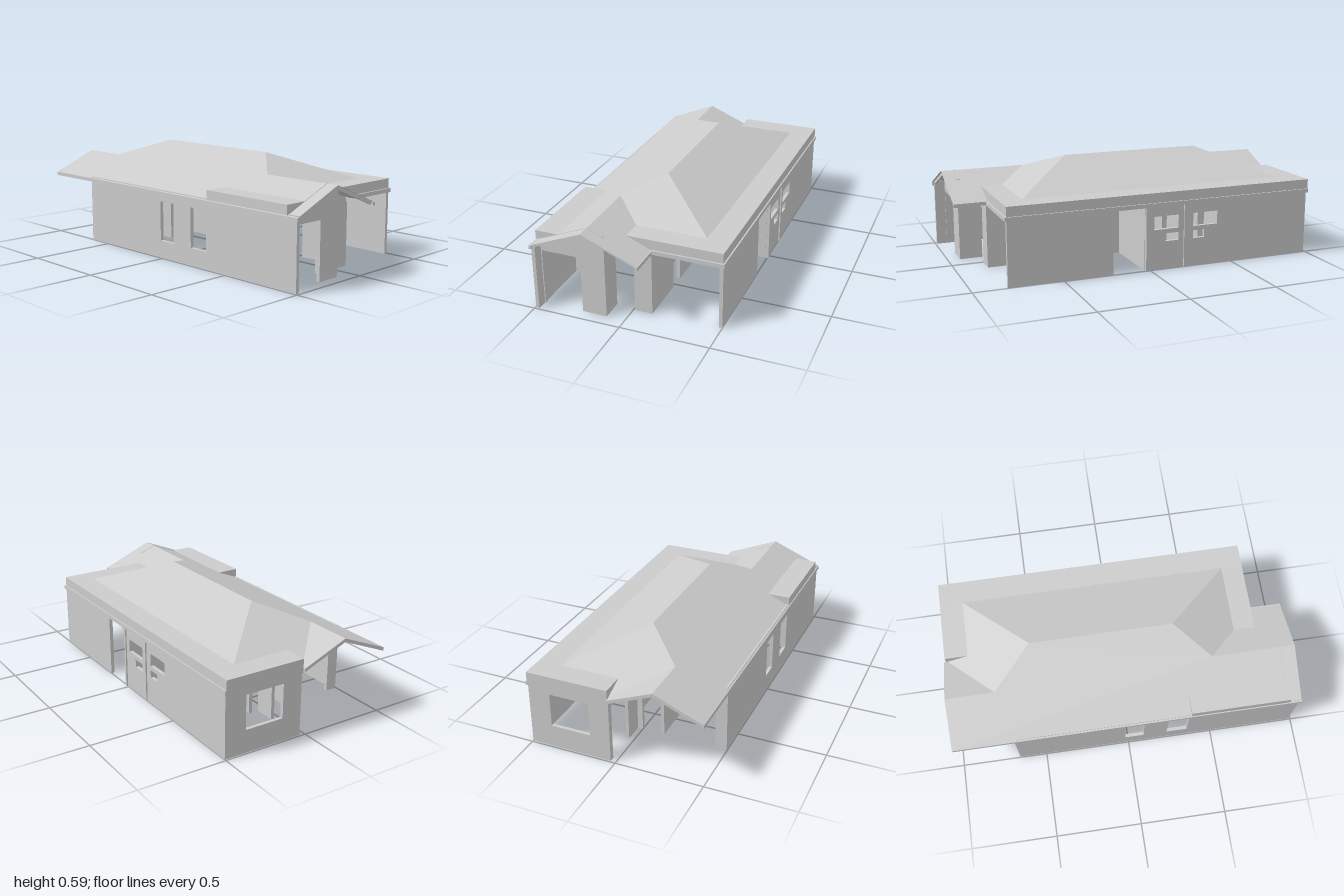
import * as THREE from 'three';

const mat = new THREE.MeshStandardMaterial({ color: 0xcccccc, flatShading: true, side: THREE.DoubleSide });
const H = 0.37, T = 0.02; // wall height and thickness
const R = 0.588, S = 0.41, F = 0.438; // ridge height, roof pitch, flat rim height
const toVec = list => list.map(p => new THREE.Vector2(...p));

function add(parent, name, geo) {
  const m = new THREE.Mesh(geo, mat);
  m.name = name;
  parent.add(m);
  return m;
}

// Box given by its minimum and maximum corners
function box(parent, name, x0, x1, y0, y1, z0, z1) {
  const m = add(parent, name, new THREE.BoxGeometry(x1 - x0, y1 - y0, z1 - z0));
  m.position.set((x0 + x1) / 2, (y0 + y1) / 2, (z0 + z1) / 2);
}

// Wall from a to b along an axis; doors [a, b] are notches, windows [a, b, y0, y1] are holes,
// top lists the points of a sloped upper edge from b to a
function wall(parent, name, axis, at, a, b, { doors = [], windows = [], top = [[b, H], [a, H]] } = {}) {
  const pts = [[a, 0]];
  for (const [p, q] of doors) pts.push([p, 0], [p, 0.325], [q, 0.325], [q, 0]);
  pts.push([b, 0], ...top);
  const shape = new THREE.Shape(toVec(pts));
  for (const [p, q, y0, y1] of windows)
    shape.holes.push(new THREE.Path(toVec([[p, y0], [p, y1], [q, y1], [q, y0]])));
  const m = add(parent, name, new THREE.ExtrudeGeometry(shape, { depth: T, bevelEnabled: false }));
  if (axis === 'x') m.position.z = at - T / 2;
  else {
    m.rotation.y = -Math.PI / 2;
    m.position.x = at + T / 2;
  }
}

// Flat roof face from plan points [x, z] lifted by a height rule
function face(parent, name, plan, height) {
  const g = new THREE.ShapeGeometry(new THREE.Shape(toVec(plan.map(([x, z]) => [x, -z]))));
  g.rotateX(-Math.PI / 2);
  const p = g.attributes.position;
  for (let i = 0; i < p.count; i++) p.setY(i, height(p.getX(i), p.getZ(i)));
  g.computeVertexNormals();
  add(parent, name, g);
}

// Sloping board under a gable edge, profile points [z, y]
function rake(parent, name, x, pts) {
  const low = pts.map(([z, y]) => [z, y - 0.02]).reverse();
  const shape = new THREE.Shape(toVec([...pts, ...low]));
  const m = add(parent, name, new THREE.ExtrudeGeometry(shape, { depth: 0.012, bevelEnabled: false }));
  m.rotation.y = -Math.PI / 2;
  m.position.x = x;
}

export function createModel() {
  const house = new THREE.Group();
  house.name = 'house';
  const group = name => {
    const g = new THREE.Group();
    g.name = name;
    house.add(g);
    return g;
  };

  // Outer walls
  const outer = group('outerWalls');
  wall(outer, 'frontWall', 'x', 0.485, -0.66, 0.99, {
    windows: [[-0.02, 0.09, 0.1, 0.325], [0.23, 0.35, 0.1, 0.325]],
    top: [[0.99, 0.39], [-0.66, 0.39]],
  });
  wall(outer, 'frontWallReturn', 'z', -0.65, 0.43, 0.48);
  wall(outer, 'backWallPatio', 'x', -0.49, 0.22, 0.81);
  wall(outer, 'backWall', 'x', -0.49, -0.99, 0.02, {
    windows: [[-0.17, -0.02, 0.23, 0.305], [-0.17, -0.09, 0.16, 0.205],
      [-0.41, -0.26, 0.23, 0.305], [-0.33, -0.26, 0.16, 0.205]],
  });
  wall(outer, 'leftGableWall', 'z', 0.92, 0.11, 0.49, {
    doors: [[0.245, 0.47]],
    top: [[0.49, 0.39], [0.2, 0.508], [0.11, 0.471]],
  });
  wall(outer, 'porchWall', 'z', 0.81, -0.11, 0.12, {
    doors: [[-0.01, 0.105]],
    top: [[0.12, 0.465], [-0.11, 0.375]],
  });
  wall(outer, 'porchReturnWall', 'x', 0.115, 0.8, 0.93, { top: [[0.93, 0.46], [0.8, 0.46]] });
  wall(outer, 'rightEndWall', 'z', -0.98, -0.5, -0.03, { windows: [[-0.375, -0.145, 0.13, 0.325]] });
  wall(outer, 'carportBackWall', 'x', -0.04, -0.99, -0.65, { doors: [[-0.96, -0.77]] });
  wall(outer, 'carportSideWall', 'z', -0.65, -0.04, 0.13, { doors: [[0.0, 0.11]] });
  for (const x of [0.02, -0.21]) box(outer, 'backPost', x - 0.008, x + 0.008, 0, H, -0.508, -0.48);

  // Room partitions
  const inner = group('innerWalls');
  wall(inner, 'patioWall', 'x', -0.1, 0.01, 0.82, { doors: [[0.43, 0.525]] });
  wall(inner, 'corridorBackWall', 'x', -0.1, -0.65, 0.01, { doors: [[-0.6, -0.5], [-0.14, -0.04]] });
  wall(inner, 'corridorFrontWall', 'x', 0.12, -0.66, -0.35);
  wall(inner, 'corridorStub', 'z', 0.02, -0.1, 0.045);
  for (const x of [0.02, -0.21, -0.45]) wall(inner, 'roomPartition', 'z', x, -0.49, -0.1);
  wall(inner, 'bathroomWall', 'x', -0.27, -0.45, 0.02, { doors: [[-0.4, -0.31], [-0.17, -0.08]] });
  wall(inner, 'frontRoomPartition', 'z', 0.56, 0.25, 0.485);

  // Main roof slopes
  const roof = group('roof');
  face(roof, 'frontSlope', [[-1, 0.23], [-0.73, 0.23], [-0.5, 0], [0.32, 0], [0.52, 0.2], [1, 0.2], [1, 0.505], [-1, 0.505]],
    (x, z) => R - S * z);
  face(roof, 'backSlope', [[0.32, 0], [-0.5, 0], [-0.866, -0.366], [0.686, -0.366]], (x, z) => R + S * z);
  face(roof, 'rightHip', [[-0.5, 0], [-0.73, 0.23], [-0.99, -0.03], [-0.866, -0.03], [-0.866, -0.366]],
    x => R + S * (x + 0.5));
  face(roof, 'leftHip', [[0.32, 0], [0.686, -0.366], [0.686, 0.034], [0.52, 0.2]], x => R - S * (x - 0.32));

  // Back slopes of the two end gables
  face(roof, 'rightGableSlope', [[-0.73, 0.23], [-1, 0.23], [-1, -0.03], [-0.99, -0.03]], (x, z) => R + S * (z - 0.46));
  face(roof, 'leftGableSlope', [[0.52, 0.2], [1, 0.2], [1, -0.11], [0.83, -0.11]], (x, z) => R + S * (z - 0.4));

  // Flat rim around the back and its upright edges
  const flat = (name, x0, x1, z0, z1) => face(roof, name, [[x0, z0], [x1, z0], [x1, z1], [x0, z1]], () => F);
  flat('backFlat', -1, 0.81, -0.5, -0.366);
  flat('rightFlat', -1, -0.866, -0.366, -0.03);
  flat('leftFlat', 0.686, 0.81, -0.366, 0.034);
  box(roof, 'backParapet', -1, 0.81, 0.38, F, -0.5, -0.495);
  box(roof, 'rightParapet', -1, -0.995, 0.38, F, -0.5, -0.03);
  box(roof, 'rightParapetReturn', -1, -0.866, 0.385, F, -0.035, -0.03);
  box(roof, 'leftParapet', 0.805, 0.81, 0.38, F, -0.5, 0.034);

  // Raised box over the front eave
  box(roof, 'frontRoofBox', 0.36, 0.93, 0.385, F, 0.365, 0.5);

  // Eave boards and gable boards
  const trim = group('eaves');
  box(trim, 'frontEave', -1, 1, 0.362, 0.382, 0.49, 0.505);
  box(trim, 'backEave', -1, 0.82, 0.36, 0.383, -0.508, -0.488);
  box(trim, 'rightEave', -1, -0.985, 0.36, 0.383, -0.508, -0.03);
  box(trim, 'leftEave', 0.8, 0.82, 0.36, 0.383, -0.508, -0.11);
  box(trim, 'porchEave', 0.8, 1, 0.36, 0.38, -0.113, -0.098);
  rake(trim, 'leftGableBoard', 0.988, [[-0.11, 0.379], [0.2, 0.506], [0.505, 0.381]]);
  rake(trim, 'rightGableBoard', -1, [[-0.03, 0.387], [0.23, 0.494], [0.505, 0.381]]);
  return house;
}
